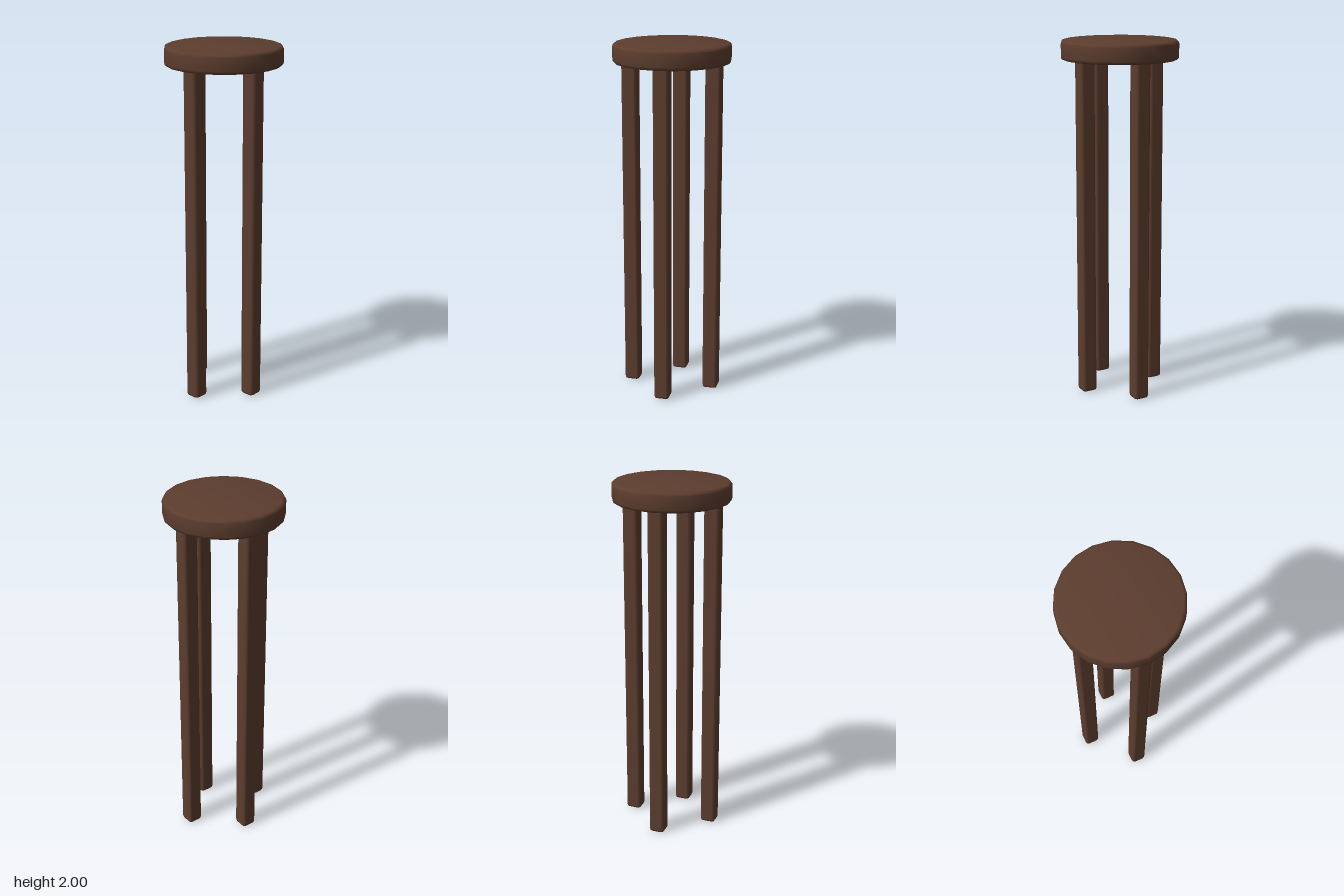
import * as THREE from 'three';
import { toCreasedNormals } from 'three/addons/utils/BufferGeometryUtils.js';
import { RoundedBoxGeometry } from 'three/addons/geometries/RoundedBoxGeometry.js';

export function createModel() {
  const stool = new THREE.Group();
  stool.name = 'stool';
  const wood = new THREE.MeshStandardMaterial({ color: 0x5c3d2e });
  wood.name = 'dark brown wood';

  // Seat: twenty-sided disc with softened rims
  const radius = 0.323, bottom = 1.893, top = 2, bevel = 0.018;
  const profile = [new THREE.Vector2(0, bottom)];
  const steps = 3;
  for (const [y, start] of [[bottom + bevel, -Math.PI / 2], [top - bevel, 0]]) {
    for (let i = 0; i <= steps; i++) {
      const a = start + (i / steps) * Math.PI / 2;
      profile.push(new THREE.Vector2(radius - bevel + Math.cos(a) * bevel, y + Math.sin(a) * bevel));
    }
  }
  profile.push(new THREE.Vector2(0, top));
  const seat = new THREE.Mesh(toCreasedNormals(new THREE.LatheGeometry(profile, 20), 0.6), wood);
  seat.name = 'seat';
  stool.add(seat);

  // Legs: four square posts with eased edges, set in a cross
  const height = 1.91;
  const legGeometry = new RoundedBoxGeometry(0.087, height, 0.087, 1, 0.017);
  const legs = {
    frontLeg: [0, 0.214],
    backLeg: [0, -0.214],
    leftLeg: [0.235, 0.006],
    rightLeg: [-0.235, 0.006],
  };
  for (const [name, [x, z]] of Object.entries(legs)) {
    const leg = new THREE.Mesh(legGeometry, wood);
    leg.name = name;
    leg.position.set(x, height / 2, z);
    stool.add(leg);
  }
  return stool;
}
